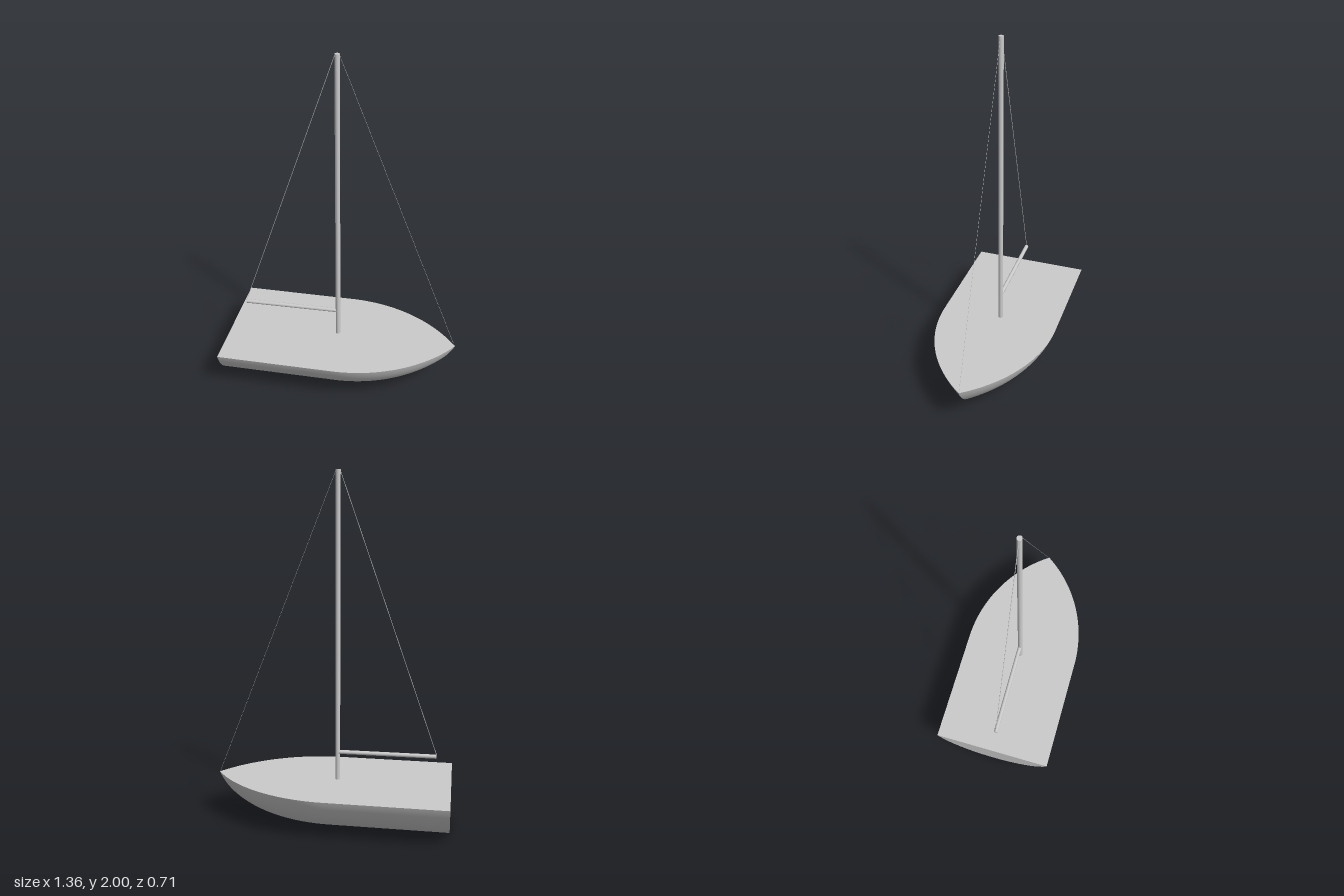
import * as THREE from 'three';

const material = new THREE.MeshStandardMaterial({ color: 0xcccccc, side: THREE.DoubleSide });

const DECK = 0.252;     // deck height
const HALF = 0.354;     // half beam
const LENGTH = 0.68;    // bow and stern distance from the middle
const R = (HALF ** 2 + DECK ** 2) / (2 * DECK);          // radius of the hull section
const A_MAX = Math.acos((R - DECK) / R);                 // section angle at the deck edge
const OFFSET = (LENGTH ** 2 + HALF ** 2) / (2 * HALF) - HALF; // bow turning axis beyond centreline

function add(group, name, geometry) {
  const mesh = new THREE.Mesh(geometry, material);
  mesh.name = name;
  group.add(mesh);
  return mesh;
}

// Round bar between two points
function bar(group, name, from, to, radius, sides) {
  const a = new THREE.Vector3(...from), b = new THREE.Vector3(...to);
  const mesh = add(group, name, new THREE.CylinderGeometry(radius, radius, a.distanceTo(b), sides));
  mesh.position.copy(a).add(b).multiplyScalar(0.5);
  mesh.quaternion.setFromUnitVectors(new THREE.Vector3(0, 1, 0), b.sub(a).normalize());
}

// One side of the hull: a circular section run straight from the stern,
// then turned about an upright axis until it meets the centreline
function hullSide(side) {
  const rows = 40, cols = 40, positions = [], normals = [], index = [];
  for (let i = 0; i <= rows; i++) {
    const a = A_MAX * (i / rows) ** 1.6;
    const r = OFFSET + R * Math.sin(a), y = R - R * Math.cos(a);
    const phiEnd = Math.acos(Math.min(1, OFFSET / r));
    for (let j = 0; j <= cols; j++) {
      const phi = j === 0 ? 0 : phiEnd * (j - 1) / (cols - 1);
      const x = j === 0 ? -LENGTH : r * Math.sin(phi);
      positions.push(x, y, side * (r * Math.cos(phi) - OFFSET));
      normals.push(Math.sin(a) * Math.sin(phi), -Math.cos(a), side * Math.sin(a) * Math.cos(phi));
      if (i < rows && j < cols) {
        const p = i * (cols + 1) + j, q = p + cols + 1;
        if (side > 0) index.push(p, p + 1, q + 1, p, q + 1, q);
        else index.push(p, q + 1, p + 1, p, q, q + 1);
      }
    }
  }
  const geometry = new THREE.BufferGeometry();
  geometry.setAttribute('position', new THREE.Float32BufferAttribute(positions, 3));
  geometry.setAttribute('normal', new THREE.Float32BufferAttribute(normals, 3));
  geometry.setIndex(index);
  return geometry;
}

export function createModel() {
  const boat = new THREE.Group();
  boat.name = 'sailboat';

  // Hull
  const hull = new THREE.Group();
  hull.name = 'hull';
  boat.add(hull);
  add(hull, 'hullLeftSide', hullSide(1));
  add(hull, 'hullRightSide', hullSide(-1));

  // Deck: straight sides and two arcs meeting at the bow
  const rBow = OFFSET + HALF, bowAngle = Math.asin(LENGTH / rBow);
  const deck = new THREE.Shape();
  deck.moveTo(-LENGTH, -HALF);
  deck.lineTo(0, -HALF);
  deck.absarc(0, OFFSET, rBow, -Math.PI / 2, -Math.PI / 2 + bowAngle, false);
  deck.absarc(0, -OFFSET, rBow, Math.PI / 2 - bowAngle, Math.PI / 2, false);
  deck.lineTo(-LENGTH, HALF);
  add(hull, 'deck', new THREE.ShapeGeometry(deck, 39).rotateX(-Math.PI / 2).translate(0, DECK, 0));

  // Flat stern: circular segment
  const stern = new THREE.Shape();
  stern.absarc(0, R, R, -Math.PI / 2 - A_MAX, -Math.PI / 2 + A_MAX, false);
  add(hull, 'transom', new THREE.ShapeGeometry(stern, 60).rotateY(-Math.PI / 2).translate(-LENGTH, 0, 0));

  // Mast, boom and rigging
  bar(boat, 'mast', [-0.028, DECK - 0.01, -0.002], [-0.028, 2, -0.002], 0.014, 24);
  bar(boat, 'boom', [-0.028, 0.417, -0.003], [-0.592, 0.417, 0.005], 0.012, 12);
  bar(boat, 'backstay', [-0.038, 2, -0.002], [-0.592, 0.427, 0.005], 0.0016, 6);
  bar(boat, 'forestay', [-0.018, 2, -0.002], [0.678, DECK, 0], 0.0008, 6);

  return boat;
}
